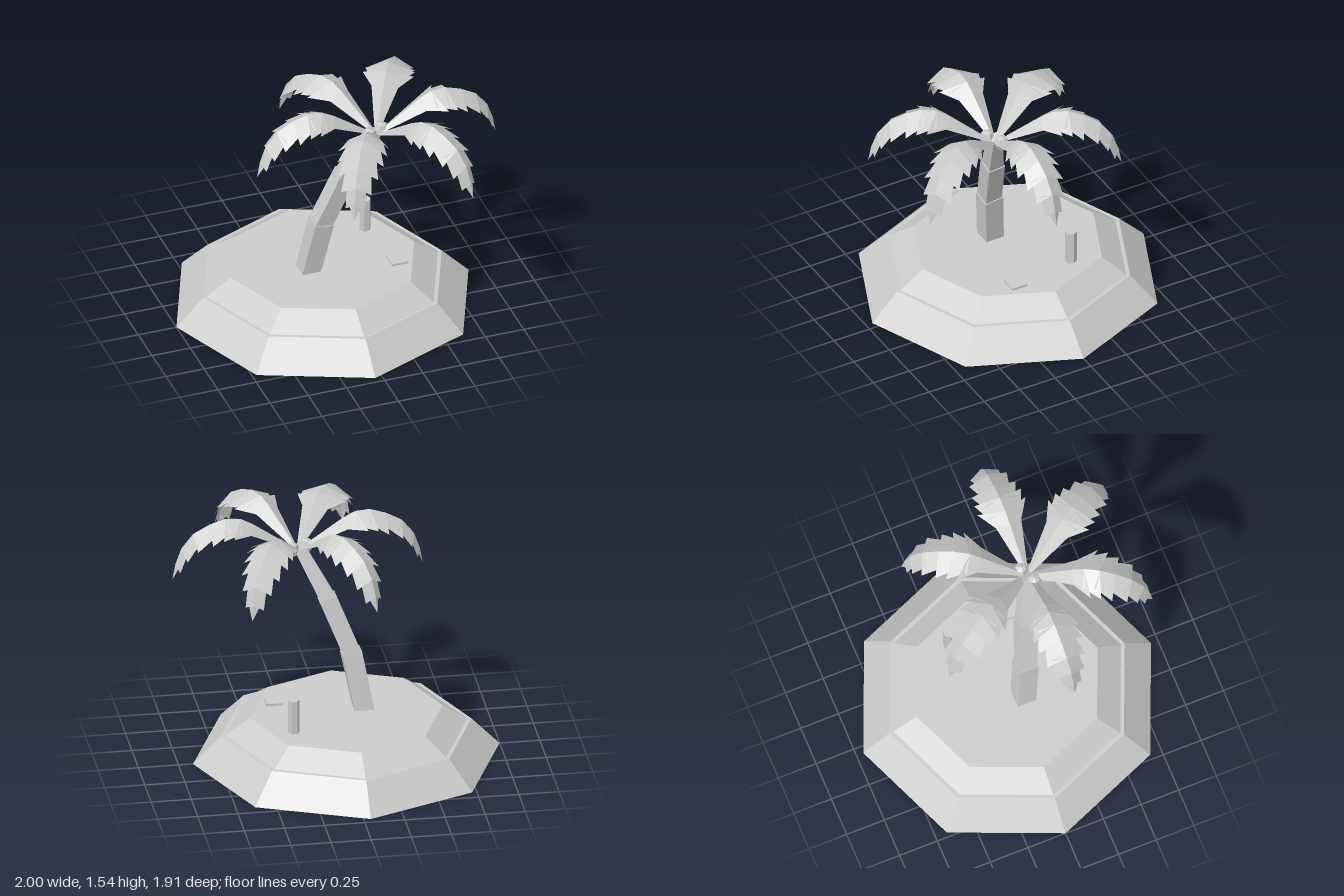
import * as THREE from 'three';

const material = new THREE.MeshStandardMaterial({ color: 0xcccccc, flatShading: true });
const leafMaterial = new THREE.MeshStandardMaterial({ color: 0xcccccc, flatShading: true, side: THREE.DoubleSide });

function add(parent, name, geometry, x = 0, y = 0, z = 0, mat = material) {
  const mesh = new THREE.Mesh(geometry, mat);
  mesh.name = name;
  mesh.position.set(x, y, z);
  parent.add(mesh);
  return mesh;
}

// Geometry from a list of quads, each with four Vector3 corners
function fromQuads(quads) {
  const points = quads.flatMap(([a, b, c, d]) => [a, b, c, a, c, d]);
  const geometry = new THREE.BufferGeometry().setFromPoints(points);
  geometry.computeVertexNormals();
  return geometry;
}

// Square ring, counter-clockwise seen from above, tilted along a direction
function ring(center, direction, half) {
  const q = new THREE.Quaternion().setFromUnitVectors(
    new THREE.Vector3(0, 1, 0), new THREE.Vector3(...direction).normalize());
  return [[-1, 1], [1, 1], [1, -1], [-1, -1]].map(([x, z]) =>
    new THREE.Vector3(x * half, 0, z * half).applyQuaternion(q).add(new THREE.Vector3(...center)));
}

// Tapered square block between two rings
function block(a, b) {
  const quads = a.map((p, i) => {
    const j = (i + 1) % 4;
    return [p, a[j], b[j], b[i]];
  });
  quads.push(b, [...a].reverse());
  return fromQuads(quads);
}

// Arched leaf: ridge nodes [distance, height, half width], with sawtooth edges
function frondGeometry() {
  const nodes = [
    [0.02, 1.31, 0.015], [0.28, 1.49, 0.085], [0.355, 1.53, 0.16], [0.45, 1.538, 0.155],
    [0.55, 1.505, 0.145], [0.65, 1.45, 0.125], [0.725, 1.355, 0.095], [0.762, 1.25, 0.06],
    [0.78, 1.15, 0],
  ];
  const quads = [];
  for (let i = 0; i < nodes.length - 1; i++) {
    const [ar, ay, aw] = nodes[i], [br, by, bw] = nodes[i + 1];
    const t = new THREE.Vector2(br - ar, by - ay).normalize();
    const inner = i < 2 ? aw : aw * 0.65;
    const reach = i > 0 && i < 7 ? 0.025 : 0;
    const edge = (r, y, w, forward, side) => new THREE.Vector3(
      r + t.x * forward + t.y * w * 0.55, y + t.y * forward - t.x * w * 0.55, side * w);
    for (const side of [1, -1]) {
      const quad = [
        new THREE.Vector3(ar, ay, 0), edge(ar, ay, inner, 0, side),
        edge(br, by, bw, reach, side), new THREE.Vector3(br, by, 0),
      ];
      quads.push(side > 0 ? quad : quad.reverse());
    }
  }
  return fromQuads(quads);
}

export function createModel() {
  const model = new THREE.Group();
  model.name = 'palmIsland';

  // Two stepped octagonal tiers
  const island = new THREE.Group();
  island.name = 'island';
  model.add(island);
  add(island, 'lowerTier', new THREE.CylinderGeometry(0.78, 0.955, 0.18, 8), -0.045, 0.09, 0);
  add(island, 'upperTier', new THREE.CylinderGeometry(0.6, 0.755, 0.105, 8), -0.045, 0.2325, 0);

  // Leaning trunk of three overlapping blocks
  const tree = new THREE.Group();
  tree.name = 'palmTree';
  model.add(tree);
  const base = [-0.16, 0.28, 0.06], low = [-0.09, 0.648, 0.105];
  const high = [0.05, 1.0, 0.16], crown = [0.21, 1.315, 0.23];
  const lowTilt = [0.2, 1, 0.13], highTilt = [0.37, 1, 0.14];
  [
    [ring(base, [0, 1, 0], 0.061), ring(low, lowTilt, 0.062)],
    [ring(low, lowTilt, 0.056), ring(high, highTilt, 0.056)],
    [ring(high, highTilt, 0.05), ring(crown, [0.48, 1, 0.18], 0.036)],
  ].forEach(([a, b], i) => add(tree, `trunkSection${i + 1}`, block(a, b)));

  // Six fronds around the crown
  const frond = frondGeometry();
  for (let i = 0; i < 6; i++) {
    add(tree, `frond${i + 1}`, frond, 0.22, 0, 0.24, leafMaterial).rotation.y = i * Math.PI / 3;
  }

  // Coconuts under the crown
  [[0.165, 1.31, 0.265], [0.26, 1.31, 0.215]].forEach((p, i) =>
    add(tree, `coconut${i + 1}`, new THREE.SphereGeometry(0.049, 6, 4), ...p));

  // Post and flat plate on the ground
  add(model, 'post', new THREE.CylinderGeometry(0.036, 0.036, 0.225, 6), 0.32, 0.3925, -0.24)
    .rotation.y = Math.PI / 6;
  add(model, 'groundPlate', new THREE.BoxGeometry(0.105, 0.014, 0.105), 0.38, 0.303, 0.182);

  return model;
}
